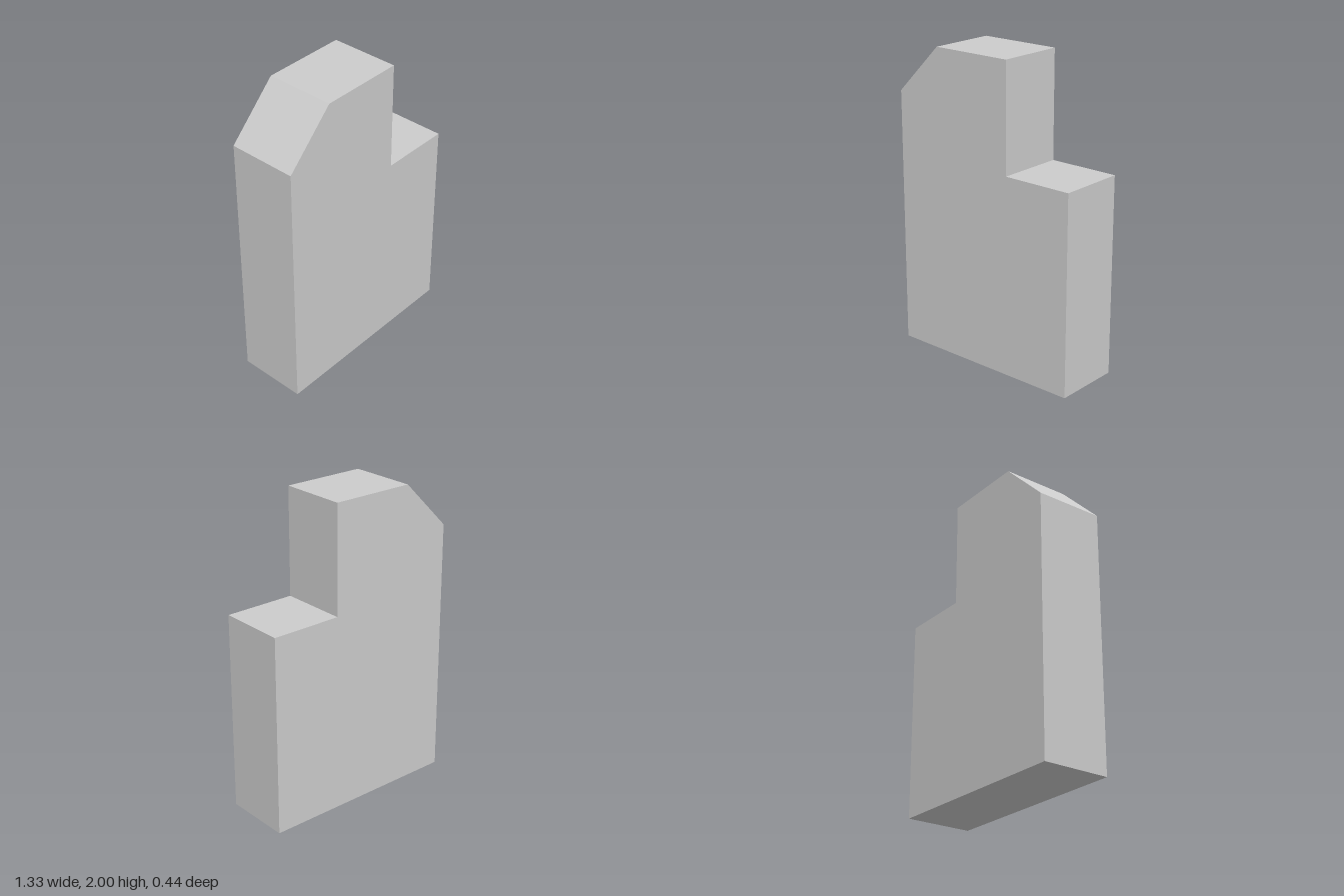
import * as THREE from 'three';

export function createModel() {
  const group = new THREE.Group();
  group.name = 'steppedBlock';
  const depth = 0.444;

  // Side outline: chamfered upper corner on one side, square step on the other
  const outline = [
    [-0.666, 0], [0.666, 0], [0.666, 1.3], [0.199, 1.3],
    [0.199, 2], [-0.35, 2], [-0.666, 1.684],
  ].map(([x, y]) => new THREE.Vector2(x, y));

  // Solid plate, centred on z
  const geometry = new THREE.ExtrudeGeometry(new THREE.Shape(outline), { depth, bevelEnabled: false });
  geometry.translate(0, 0, -depth / 2);

  const body = new THREE.Mesh(
    geometry,
    new THREE.MeshStandardMaterial({ color: 0xcccccc, flatShading: true }),
  );
  body.name = 'body';
  group.add(body);
  return group;
}
